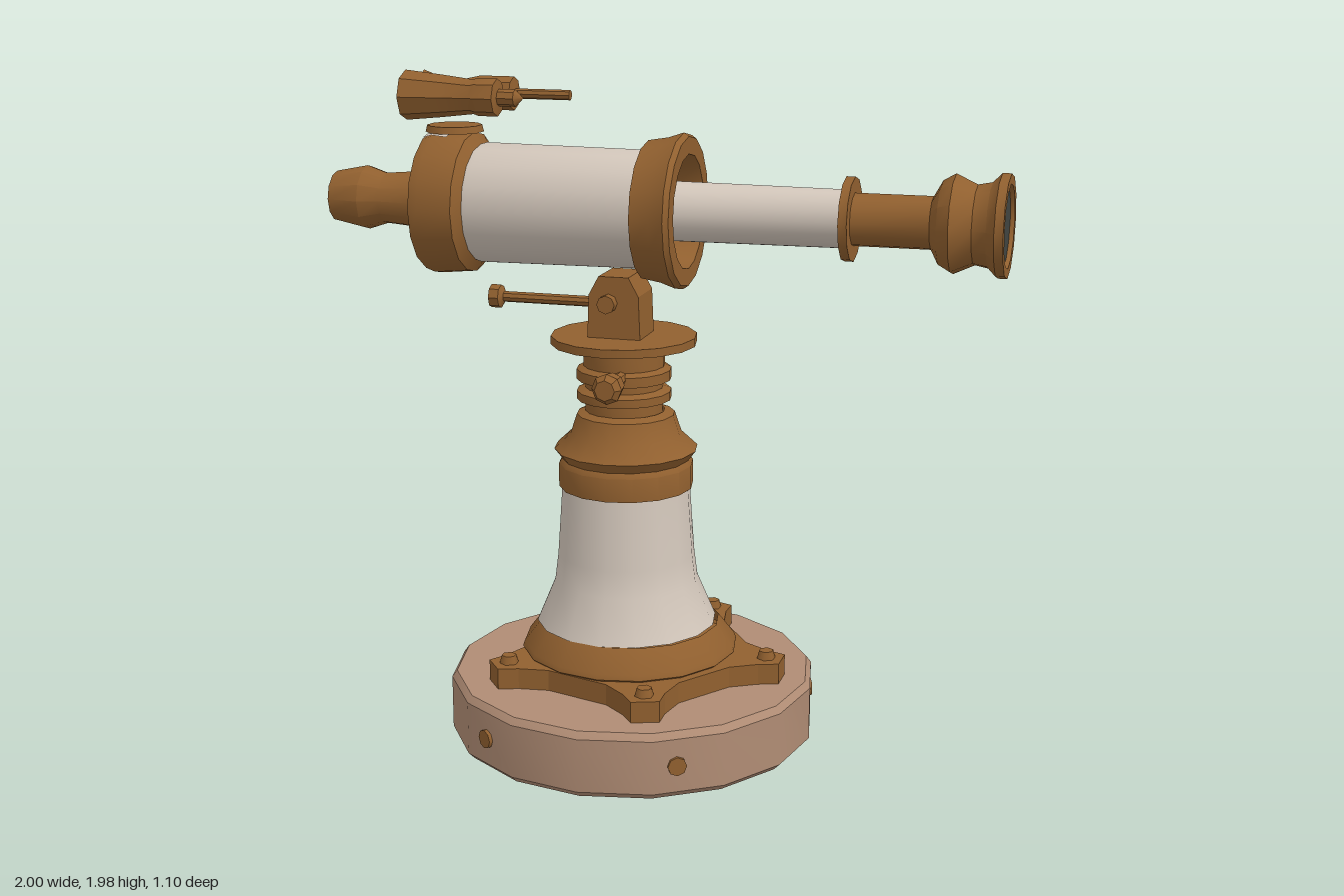
import * as THREE from 'three';
import { toCreasedNormals } from 'three/addons/utils/BufferGeometryUtils.js';

const mat = (name, color, side = THREE.FrontSide) => {
  const m = new THREE.MeshStandardMaterial({ color, side });
  m.name = name;
  return m;
};

export function createModel() {
  const brass = mat('brass', 0x91602f, THREE.DoubleSide);
  const ivory = mat('ivory', 0xd3c7bb, THREE.DoubleSide);
  const wood = mat('wood', 0xb08c74);
  const glass = mat('darkGlass', 0x414541, THREE.DoubleSide);
  const model = new THREE.Group();

  const add = (name, geo, material, x = 0, y = 0, z = 0, parent = model) => {
    const mesh = new THREE.Mesh(geo, material);
    mesh.name = name;
    mesh.position.set(x, y, z);
    parent.add(mesh);
    return mesh;
  };
  // Profiles are [radius, position along axis]
  const turned = (pts, sides = 16, start = 0, sweep = Math.PI * 2) =>
    toCreasedNormals(new THREE.LatheGeometry(pts.map(p => new THREE.Vector2(...p)), sides, start, sweep), 0.6);
  const turnedX = (...args) => turned(...args).rotateZ(-Math.PI / 2);
  const CX = -0.1;

  // Wooden base with pegs round its side
  add('base', turned([[0, 0], [0.53, 0], [0.55, 0.02], [0.55, 0.18], [0.535, 0.2], [0, 0.2]]), wood, -0.08);
  for (const deg of [60, 125, 180, -121, -62, -22]) {
    const a = deg * Math.PI / 180;
    const peg = add('basePeg', new THREE.CylinderGeometry(0.028, 0.028, 0.03, 8).rotateX(Math.PI / 2), brass,
      -0.08 + Math.cos(a) * 0.535, 0.1, Math.sin(a) * 0.535);
    peg.rotation.y = Math.PI / 2 - a;
  }

  // Five-lobed foot plate and bolts
  const lobes = [0, 70, 142, 218, 290].map(d => d * Math.PI / 180);
  const plate = new THREE.Shape();
  lobes.forEach((a, i) => {
    const next = i < 4 ? lobes[i + 1] : Math.PI * 2;
    const gap = (next - a) / 2;
    const corners = [[0.40, -0.15], [0.455, -0.09], [0.455, 0.09], [0.40, 0.15], [0.335, 0.32], [0.335, 2 * gap - 0.32]];
    corners.forEach(([r, d], k) => {
      const x = r * Math.cos(a + d), y = r * Math.sin(a + d);
      i + k === 0 ? plate.moveTo(x, y) : plate.lineTo(x, y);
    });
    add('bolt', new THREE.CylinderGeometry(0.022, 0.03, 0.03, 6), brass,
      -0.07 + 0.405 * Math.cos(a), 0.272, 0.405 * Math.sin(a));
  });
  add('footPlate', new THREE.ExtrudeGeometry(plate, { depth: 0.065, bevelEnabled: false }).rotateX(-Math.PI / 2), brass, -0.07, 0.198);

  // Pedestal
  add('columnSkirt', turned([[0.3, 0.25], [0.325, 0.27], [0.32, 0.285], [0.27, 0.35]]), brass, CX + 0.01);
  add('column', turned([[0.27, 0.35], [0.215, 0.48], [0.205, 0.56], [0.19, 0.78]]), ivory, CX);
  add('collar', turned([[0.19, 0.77], [0.2, 0.77], [0.2, 0.84], [0.19, 0.855], [0.213, 0.885], [0.165, 0.93],
    [0.145, 0.99], [0.115, 1.0]]), brass, CX);
  add('neck', turned([[0.115, 0.98], [0.115, 1.03], [0.14, 1.035], [0.14, 1.06], [0.115, 1.07], [0.115, 1.09],
    [0.14, 1.095], [0.14, 1.125], [0.12, 1.135], [0.12, 1.21]]), brass, -0.105);
  add('turntable', new THREE.CylinderGeometry(0.215, 0.215, 0.025, 16), brass, -0.105, 1.213);

  // Clamp knob on the neck
  add('clampKnob', turned([[0, 0], [0.02, 0], [0.02, 0.08], [0.035, 0.09], [0.045, 0.15], [0.03, 0.17], [0, 0.17]], 8)
    .rotateX(Math.PI / 2), brass, -0.08, 1.12, 0.1);

  // Tilt bracket, pivot and handle
  const lug = new THREE.Shape();
  lug.moveTo(-0.08, 0);
  lug.lineTo(0.08, 0);
  lug.lineTo(0.075, 0.13);
  lug.lineTo(0.045, 0.185);
  lug.lineTo(-0.045, 0.185);
  lug.lineTo(-0.075, 0.13);
  add('tiltBracket', new THREE.ExtrudeGeometry(lug, { depth: 0.14, bevelEnabled: false }), brass, -0.115, 1.222, -0.07);
  add('pivotPin', new THREE.CylinderGeometry(0.027, 0.027, 0.2, 8).rotateX(Math.PI / 2), brass, -0.13, 1.33);
  add('handle', turnedX([[0, -0.52], [0.035, -0.515], [0.035, -0.485], [0.016, -0.475], [0.016, -0.15]], 8), brass, 0, 1.317);

  // Telescope, turned about the x axis
  const scope = new THREE.Group();
  scope.name = 'telescope';
  scope.position.y = 1.595;
  model.add(scope);
  const part = (name, pts, m, sides = 16) => add(name, turnedX(pts, sides), m, 0, 0, 0, scope);
  part('mainTube', [[0.165, -0.56], [0.177, -0.52], [0.172, 0]], ivory);
  part('rearRing', [[0.16, -0.63], [0.17, -0.69], [0.205, -0.69], [0.215, -0.66], [0.205, -0.56], [0.165, -0.535]], brass);
  add('rearRingBand', turnedX([[0.21, -0.688], [0.219, -0.66], [0.214, -0.615]], 8, Math.PI * 0.625, Math.PI), ivory, 0, 0, 0, scope);
  part('rearRecess', [[0, -0.64], [0.165, -0.64]], glass);
  part('frontRing', [[0.17, -0.03], [0.2, -0.03], [0.21, 0.03], [0.225, 0.075], [0.215, 0.09], [0.165, 0.09], [0.15, 0.01],
    [0.07, 0.01]], brass);
  part('drawTube', [[0.087, 0], [0.083, 0.56]], ivory);
  part('drawTubeRing', [[0.07, 0.545], [0.12, 0.545], [0.12, 0.57], [0.07, 0.57]], brass, 12);
  part('lensTube', [[0.075, 0.56], [0.075, 0.79], [0.12, 0.815], [0.14, 0.85], [0.112, 0.91], [0.12, 0.95], [0.146, 0.975],
    [0.146, 1.0], [0.118, 1.0], [0.112, 0.985]], brass, 12);
  part('lens', [[0.116, 0.988], [0, 0.988]], glass, 12);
  part('eyepiece', [[0, -0.99], [0.062, -1.0], [0.075, -1.0], [0.095, -0.9], [0.075, -0.84], [0.085, -0.72], [0.09, -0.63]], brass, 12);

  // Pad and the two finders above the rear ring
  add('finderPad', new THREE.CylinderGeometry(0.08, 0.085, 0.02, 10), brass, -0.62, 1.81);
  add('largeFinder', turnedX([[0, -0.76], [0.05, -0.77], [0.073, -0.77], [0.062, -0.66], [0.05, -0.56], [0.055, -0.545],
    [0.055, -0.485], [0.025, -0.48], [0.025, -0.43], [0, -0.405]], 8), brass, 0, 1.902);
  add('smallFinder', turnedX([[0, -0.76], [0.045, -0.77], [0.063, -0.77], [0.03, -0.68], [0.05, -0.59], [0.05, -0.485],
    [0.015, -0.48], [0.015, -0.31], [0, -0.31]], 8), brass, 0, 1.9, -0.14);

  return model;
}
